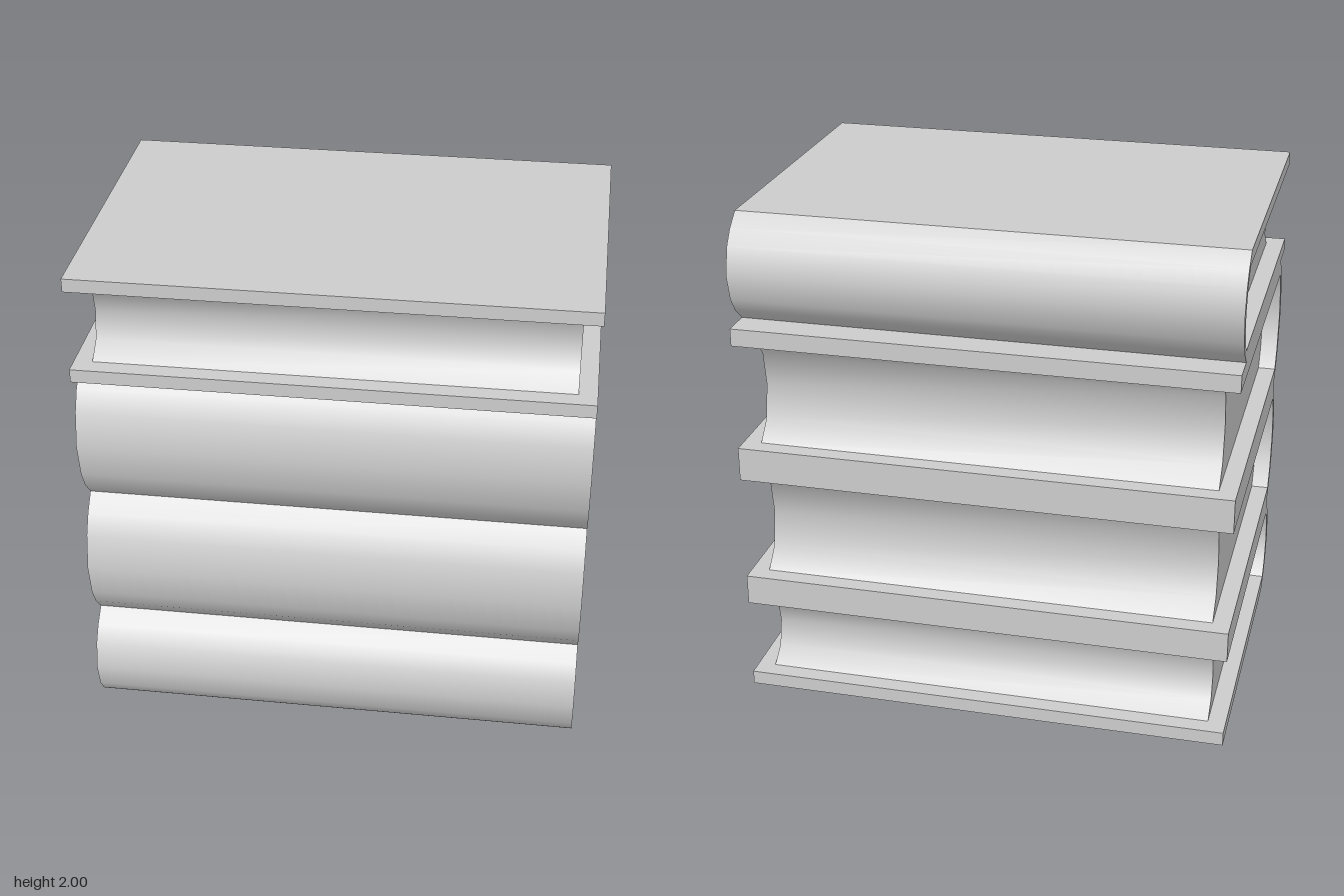
import * as THREE from 'three';
import { toCreasedNormals } from 'three/addons/utils/BufferGeometryUtils.js';

const material = new THREE.MeshStandardMaterial({ color: 0xcccccc });

// Extrude a (z, y) outline along x, centred on x = 0
function slab(points, width, crease, name) {
  const shape = new THREE.Shape(points.map(([z, y]) => new THREE.Vector2(z, y)));
  const geometry = new THREE.ExtrudeGeometry(shape, { depth: width, bevelEnabled: false });
  geometry.translate(0, 0, -width / 2).rotateY(-Math.PI / 2);
  const mesh = new THREE.Mesh(toCreasedNormals(geometry, crease), material);
  mesh.name = name;
  return mesh;
}

// Complete a curve given for its lower half by mirroring it at mid height
function mirrored(lower, height) {
  const upper = lower.slice(0, -1).reverse().map(([z, y]) => [z, height - y]);
  return [...lower, ...upper];
}

// One book lying flat, spine towards +z
function makeBook(height, board) {
  const book = new THREE.Group();
  const quarter = height * 0.255;
  const mid = height / 2;

  const spineOuter = mirrored([[0.57, 0], [0.63, height * 0.12], [0.67, quarter], [0.697, mid]], height);
  const spineInner = mirrored([[0.59, board], [0.632, quarter], [0.658, mid]], height);
  const foreEdge = mirrored([[-0.625, board], [-0.555, quarter], [-0.53, mid]], height);

  // Boards and rounded spine in one C-shaped section
  const cover = [
    [-0.695, 0], ...spineOuter, [-0.695, height],
    [-0.695, height - board], ...[...spineInner].reverse(), [-0.695, board],
  ];
  book.add(slab(cover, 1.944, 0.6, 'cover'));

  // Page block with hollow fore edge, set in from the cover ends
  book.add(slab([...spineInner, ...[...foreEdge].reverse()], 1.804, 0.85, 'pages'));
  return book;
}

export function createModel() {
  const stack = new THREE.Group();
  stack.name = 'bookStack';

  // Base height, top height, board thickness; the top book is turned round
  const books = [
    [0, 0.436, 0.056, false],
    [0.436, 1.0, 0.067, false],
    [1.0, 1.57, 0.07, false],
    [1.57, 2.0, 0.053, true],
  ];
  books.forEach(([base, top, board, turned], i) => {
    const book = makeBook(top - base, board);
    book.name = `book${i + 1}`;
    book.position.y = base;
    if (turned) book.rotation.y = Math.PI;
    stack.add(book);
  });
  return stack;
}
